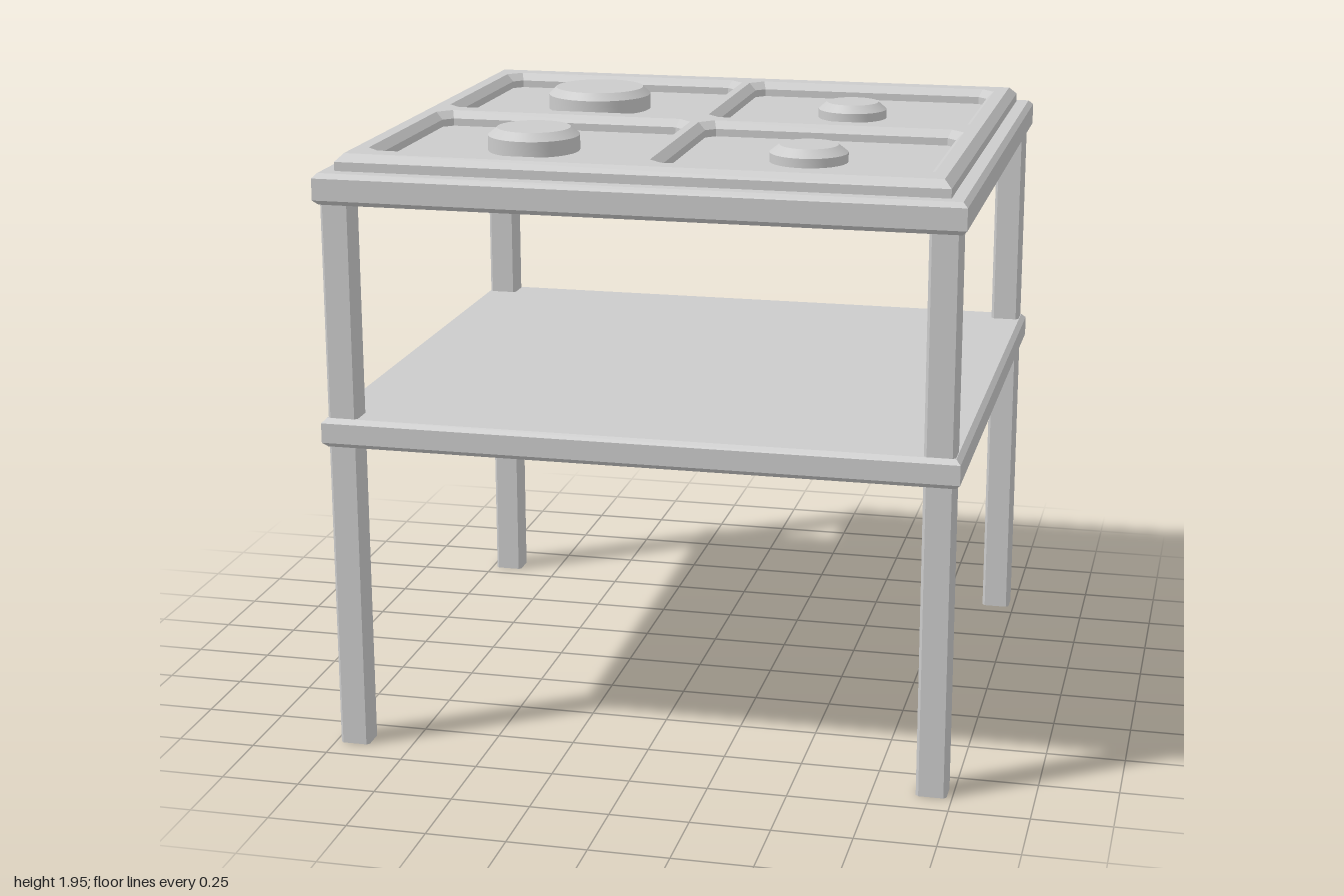
import * as THREE from 'three';
import { toCreasedNormals } from 'three/addons/utils/BufferGeometryUtils.js';

const grey = new THREE.MeshStandardMaterial({ color: 0xcccccc });
const ZC = 0.01; // centre of the table in z; the knobs stick out behind

// Rectangle with chamfered corners, as points in (x, -z)
function outline(x0, x1, z0, z1, c = 0) {
  const a = -z1, b = -z0;
  const pts = c
    ? [[x0 + c, a], [x1 - c, a], [x1, a + c], [x1, b - c], [x1 - c, b], [x0 + c, b], [x0, b - c], [x0, a + c]]
    : [[x0, a], [x1, a], [x1, b], [x0, b]];
  return pts.map(([x, y]) => new THREE.Vector2(x, y));
}

// Upright extrusion from y0 to y1 with an optional bevel and holes
function slab(points, y0, y1, bevel = 0, holes = []) {
  const shape = new THREE.Shape(points);
  shape.holes = holes.map((h) => new THREE.Path(h.slice().reverse()));
  const geo = new THREE.ExtrudeGeometry(shape, {
    depth: y1 - y0 - 2 * bevel,
    bevelEnabled: bevel > 0,
    bevelThickness: bevel,
    bevelSize: bevel,
    bevelOffset: -bevel,
    bevelSegments: 1,
  });
  geo.translate(0, 0, bevel);
  geo.rotateX(-Math.PI / 2);
  geo.translate(0, y0, 0);
  return geo;
}

// Round cap with a chamfered top edge, standing on y = 0
function cap(r, rTop, h, chamfer) {
  const profile = [[0, 0], [r, 0], [r, h - chamfer], [rTop, h], [0, h]];
  const geo = new THREE.LatheGeometry(profile.map(([x, y]) => new THREE.Vector2(x, y)), 40);
  return toCreasedNormals(geo, 0.4);
}

export function createModel() {
  const model = new THREE.Group();
  model.name = 'cookerTable';
  const add = (name, geo, x = 0, y = 0, z = 0) => {
    const mesh = new THREE.Mesh(geo, grey);
    mesh.name = name;
    mesh.position.set(x, y, z);
    model.add(mesh);
    return mesh;
  };

  // Table top and lower shelf
  const board = outline(-1, 1, ZC - 0.918, ZC + 0.918);
  add('tableTop', slab(board, 1.77, 1.868, 0.015));
  add('shelf', slab(board, 1.0, 1.093, 0.015));

  // Four legs with chamfered edges
  for (const sx of [-1, 1]) {
    for (const sz of [-1, 1]) {
      const leg = slab(outline(-0.048, 0.048, -0.043, 0.043, 0.009), 0, 1.78);
      add(sz > 0 ? 'frontLeg' : 'backLeg', leg, sx * 0.935, 0, ZC + sz * 0.859);
    }
  }

  // Hob frame: four wells with flared rims, divided by a cross of ridges
  const wells = [];
  for (const [x0, x1] of [[-0.855, -0.038], [0.038, 0.855]]) {
    for (const [z0, z1] of [[-0.755, -0.05], [0.06, 0.762]]) wells.push(outline(x0, x1, z0, z1, 0.03));
  }
  add('hobFrame', slab(outline(-0.945, 0.945, -0.863, 0.872), 1.84, 1.92, 0.024, wells));
  const floor = new THREE.BoxGeometry(1.76, 0.02, 1.58);
  add('wellFloor', floor, 0, 1.862, 0.005);

  // Burners: x, z, radius, top radius, top height
  const burners = [
    [-0.445, -0.4, 0.175, 0.15, 1.945],
    [-0.445, 0.412, 0.146, 0.117, 1.945],
    [0.44, -0.4, 0.115, 0.087, 1.925],
    [0.44, 0.412, 0.123, 0.092, 1.925],
  ];
  for (const [x, z, r, rTop, top] of burners) {
    add('burner', cap(r, rTop, top - 1.865, 0.024), x, 1.865, z);
  }

  // Control panel between the back legs, with four knobs facing backwards
  add('controlPanel', new THREE.BoxGeometry(1.79, 0.16, 0.01), 0, 1.70, -0.88);
  for (let i = 0; i < 4; i++) {
    const knob = add('knob', cap(0.045, 0.039, 0.046, 0.007), -0.79 + i * 0.142, 1.715, -0.882);
    knob.rotation.x = -Math.PI / 2;
  }
  return model;
}
